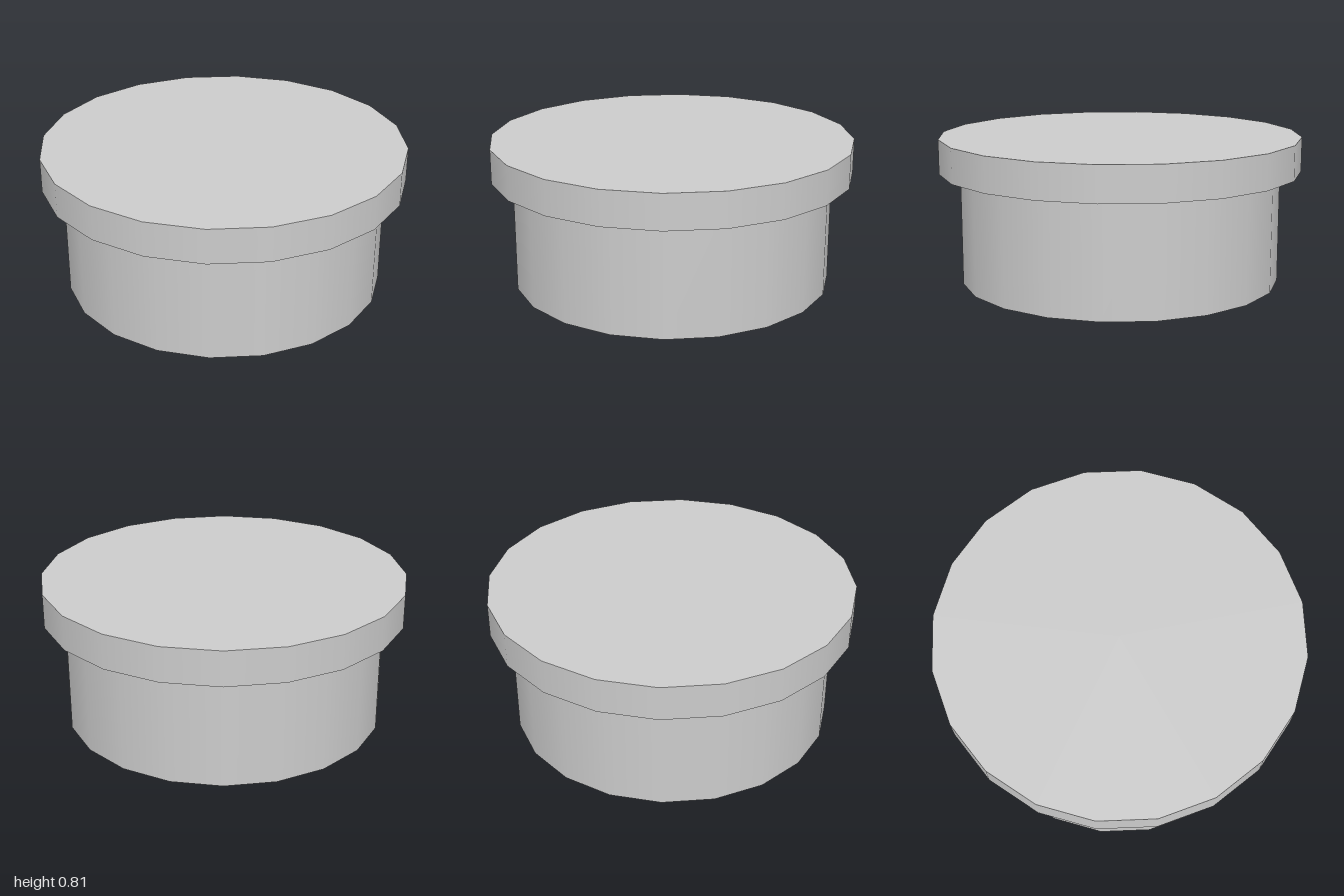
import * as THREE from 'three';

const SIDES = 20;

export function createModel() {
  const group = new THREE.Group();
  const material = new THREE.MeshStandardMaterial({ color: 0xcccccc });

  // Upright smooth-sided drum spanning bottom..top
  const addDrum = (name, radius, bottom, top) => {
    const geometry = new THREE.CylinderGeometry(radius, radius, top - bottom, SIDES);
    const mesh = new THREE.Mesh(geometry, material);
    mesh.name = name;
    mesh.position.y = (bottom + top) / 2;
    group.add(mesh);
  };

  addDrum('body', 0.885, 0, 0.62); // narrower base
  addDrum('lid', 1, 0.62, 0.81); // overhanging rim

  return group;
}
